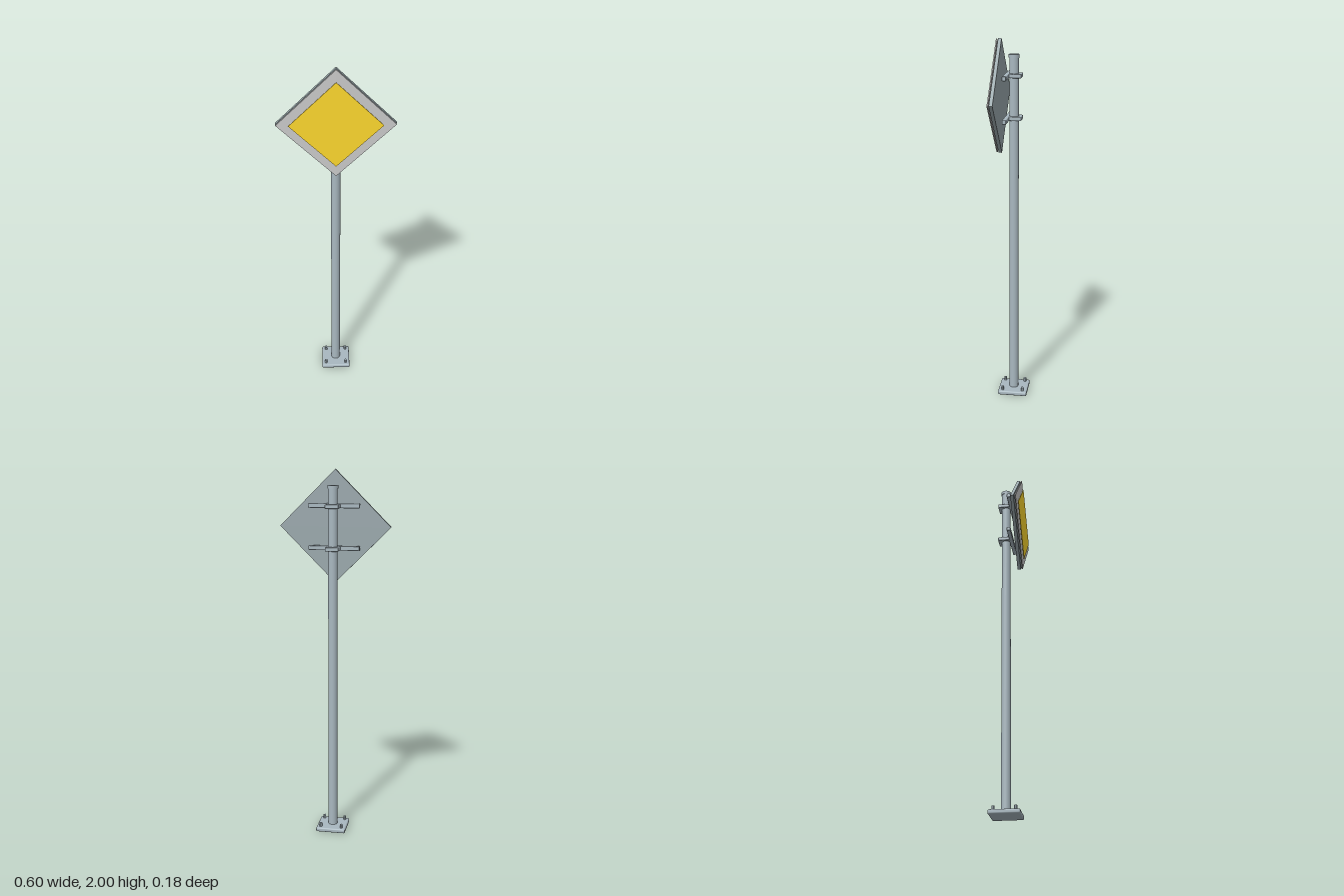
import * as THREE from 'three';
import { RoundedBoxGeometry } from 'three/addons/geometries/RoundedBoxGeometry.js';

export function createModel() {
  const group = new THREE.Group();
  const steel = new THREE.MeshStandardMaterial({ color: 0xa9b8c0 });
  const backing = new THREE.MeshStandardMaterial({ color: 0x9ba9ad });
  const grey = new THREE.MeshStandardMaterial({ color: 0xcccccc });
  const yellow = new THREE.MeshStandardMaterial({ color: 0xffd92e });
  const poleZ = -0.011;

  const add = (name, geometry, material, x, y, z) => {
    const mesh = new THREE.Mesh(geometry, material);
    mesh.name = name;
    mesh.position.set(x, y, z);
    group.add(mesh);
    return mesh;
  };

  // Foot plate with four hexagonal bolts
  add('basePlate', new RoundedBoxGeometry(0.164, 0.024, 0.164, 3, 0.008), steel, 0, 0.012, poleZ);
  const boltGeometry = new THREE.CylinderGeometry(0.008, 0.008, 0.026, 6).toNonIndexed();
  boltGeometry.computeVertexNormals();
  for (const x of [-0.058, 0.058]) {
    for (const z of [-0.057, 0.057]) add('baseBolt', boltGeometry, steel, x, 0.032, poleZ + z);
  }

  // Pole and its cap
  add('pole', new THREE.CylinderGeometry(0.025, 0.025, 1.89, 32), steel, 0, 0.965, poleZ);
  add('poleCap', new THREE.CylinderGeometry(0.028, 0.028, 0.018, 32), steel, 0, 1.911, poleZ);

  // Two clamps, each with a crossbar behind the sign
  for (const y of [1.59, 1.812]) {
    add('clamp', new RoundedBoxGeometry(0.072, 0.022, 0.084, 3, 0.004), steel, 0, y, poleZ);
    add('crossbar', new RoundedBoxGeometry(0.276, 0.024, 0.022, 3, 0.004), steel, 0, y, 0.022);
  }

  // Layered diamond panel: half diagonal, thickness, centre depth
  const layers = [
    ['signBacking', 0.3, 0.018, 0.063, backing],
    ['signBorder', 0.298, 0.006, 0.08, grey],
    ['signFace', 0.235, 0.003, 0.09, yellow],
  ];
  for (const [name, half, depth, z, material] of layers) {
    const side = half * Math.SQRT2;
    add(name, new THREE.BoxGeometry(side, side, depth), material, 0, 1.7, z).rotation.z = Math.PI / 4;
  }
  return group;
}
